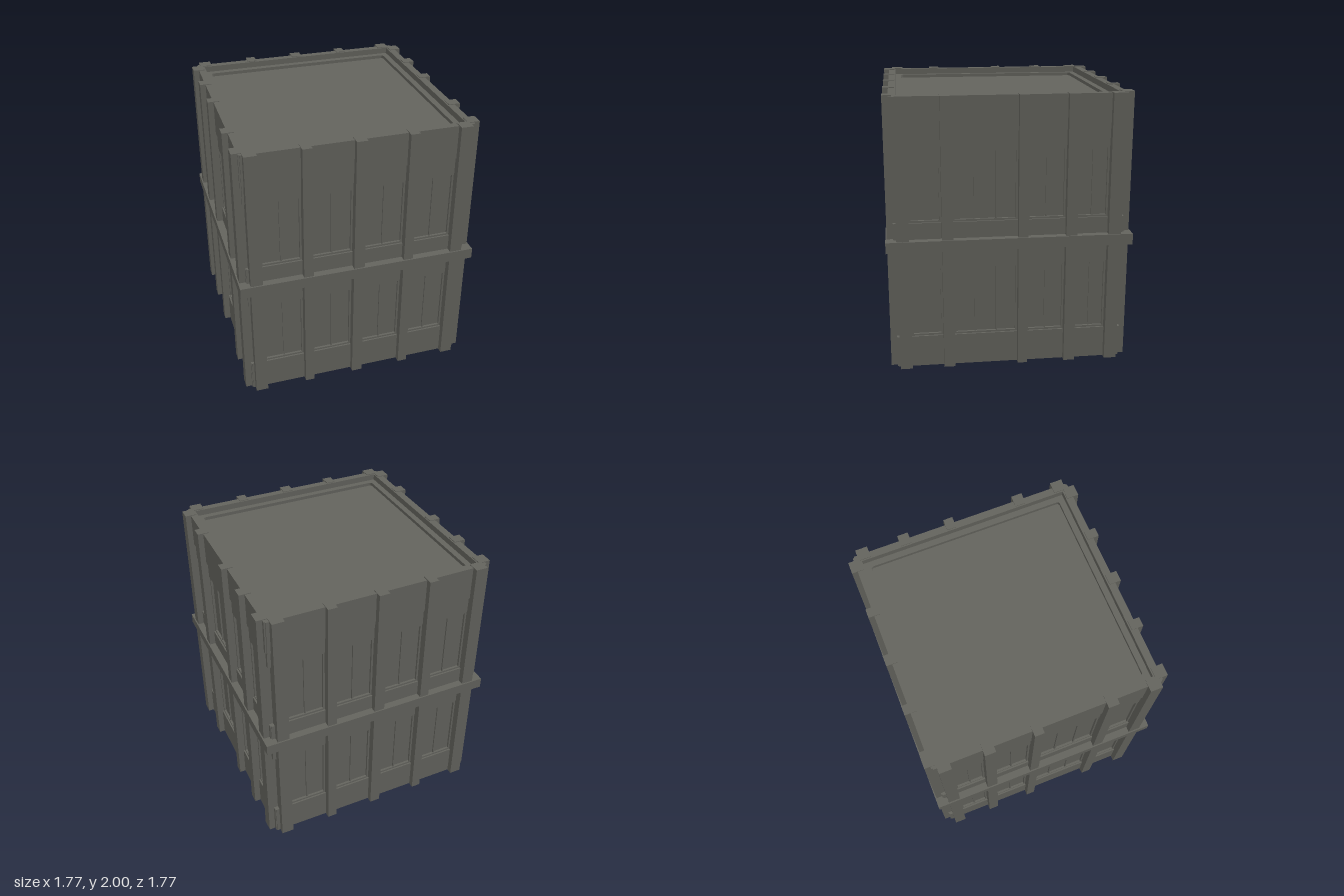
import * as THREE from 'three';

const stone = new THREE.MeshStandardMaterial({ color: 0x63635d });
stone.name = 'weathered grey stone';

// Box given by its limits along the wall (u), height (y) and depth (d, outwards)
function slab(parent, name, u0, u1, y0, y1, d0, d1) {
  const mesh = new THREE.Mesh(new THREE.BoxGeometry(u1 - u0, y1 - y0, d1 - d0), stone);
  mesh.position.set((u0 + u1) / 2, (y0 + y1) / 2, (d0 + d1) / 2);
  mesh.name = name;
  parent.add(mesh);
}

// Flat square ring with a rounded opening, lying horizontally
function ring(name, outer, inner, radius, y0, y1) {
  const shape = new THREE.Shape();
  shape.moveTo(-outer, -outer).lineTo(outer, -outer).lineTo(outer, outer).lineTo(-outer, outer).closePath();
  const hole = new THREE.Path();
  const k = inner - radius;
  for (let i = 0; i < 4; i++) {
    const a = i * Math.PI / 2;
    const cx = (i === 0 || i === 3 ? 1 : -1) * k, cy = (i < 2 ? 1 : -1) * k;
    hole.absarc(cx, cy, radius, a, a + Math.PI / 2, false);
  }
  hole.closePath();
  shape.holes.push(hole);
  const geometry = new THREE.ExtrudeGeometry(shape, { depth: y1 - y0, bevelEnabled: false, curveSegments: 4 });
  geometry.rotateX(-Math.PI / 2).translate(0, y0, 0);
  const mesh = new THREE.Mesh(geometry, stone);
  mesh.name = name;
  return mesh;
}

const CORE = 0.79, GLASS = 0.803, WALL = 0.825, FACE = 0.832, PIER = 0.877;

// One storeyed wall: piers are [start, end] pairs, panes the count in each bay
function facade(name, piers, panes) {
  const wall = new THREE.Group();
  wall.name = name;
  // Horizontal bands of masonry
  slab(wall, 'basePanel', -WALL, WALL, 0, 0.235, CORE, FACE);
  slab(wall, 'lowerLintel', -WALL, WALL, 0.765, 0.92, CORE, WALL);
  slab(wall, 'upperSill', -WALL, WALL, 0.96, 1.1, CORE, FACE);
  slab(wall, 'upperLintel', -WALL, WALL, 1.62, 1.745, CORE, WALL);
  slab(wall, 'fascia', -WALL, WALL, 1.745, 1.995, CORE - 0.01, FACE + 0.003);
  for (const [a, b] of piers) slab(wall, 'pier', a, b, 0, 2, CORE, PIER);

  // Recessed windows between the piers
  for (let i = 0; i < panes.length; i++) {
    const a = piers[i][1], b = piers[i + 1][0], n = panes[i];
    for (const [y0, y1] of [[0.235, 0.765], [1.1, 1.62]]) {
      slab(wall, 'windowJamb', a, a + 0.014, y0, y1, CORE, WALL - 0.005);
      slab(wall, 'windowJamb', b - 0.014, b, y0, y1, CORE, WALL - 0.005);
      slab(wall, 'windowHead', a, b, y1 - 0.014, y1, CORE, WALL - 0.005);
      slab(wall, 'windowFoot', a, b, y0, y0 + 0.014, CORE, WALL - 0.005);
      slab(wall, 'windowPane', a, b, y0, y1, CORE, GLASS);
      for (let j = 1; j < n; j++) {
        const u = a + (b - a) * j / n;
        slab(wall, 'mullion', u - 0.006, u + 0.006, y0, y1, CORE, GLASS + 0.012);
      }
    }
  }
  return wall;
}

export function createModel() {
  const model = new THREE.Group();
  model.name = 'twoStoreyBlock';

  // Solid core and flat roof
  slab(model, 'core', -CORE, CORE, 0, 1.925, -CORE, CORE);
  model.add(ring('parapet', WALL, 0.785, 0.005, 1.9, 1.995));
  model.add(ring('roofCurb', 0.79, 0.735, 0.02, 1.9, 1.95));

  // Belt course around the middle
  model.add(ring('beltCourse', 0.887, 0.78, 0.005, 0.9, 0.98));

  const frontPiers = [[-0.81, -0.72], [-0.42, -0.35], [-0.045, 0.035], [0.34, 0.41], [0.71, 0.8]];
  const sidePiers = [[-0.81, -0.72], [-0.49, -0.41], [0.055, 0.125], [0.4, 0.48], [0.71, 0.8]];
  const flip = piers => piers.map(([a, b]) => [-b, -a]).reverse();

  // Front and back share pier positions in x, the sides share them in z
  const walls = [
    ['frontWall', frontPiers, [2, 2, 2, 2], 0],
    ['backWall', flip(frontPiers), [2, 2, 2, 2], Math.PI],
    ['leftWall', sidePiers, [1, 3, 2, 2], Math.PI / 2],
    ['rightWall', flip(sidePiers), [2, 2, 3, 1], -Math.PI / 2],
  ];
  for (const [name, piers, panes, angle] of walls) {
    const wall = facade(name, piers, panes);
    wall.rotation.y = angle;
    model.add(wall);
  }
  return model;
}
